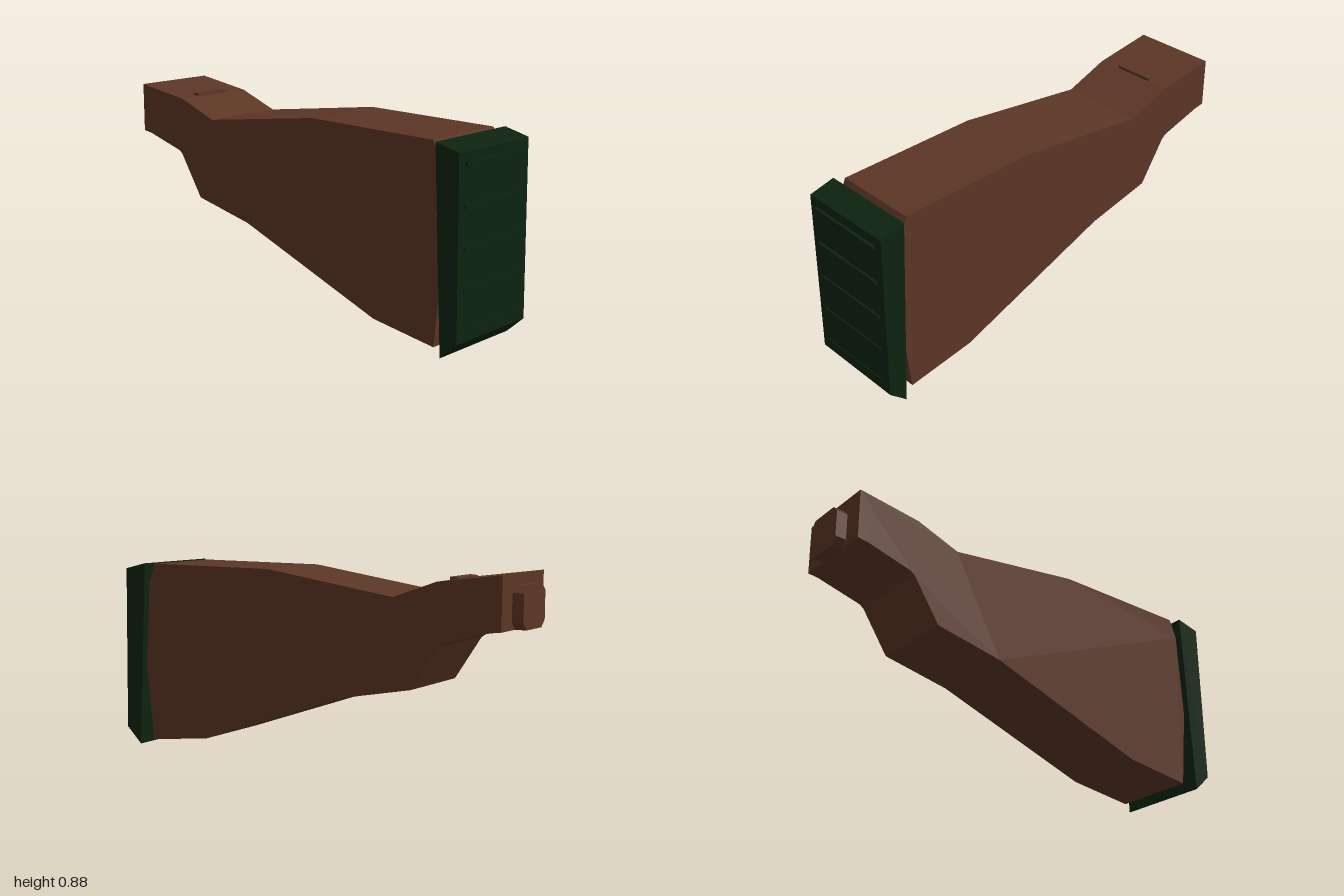
import * as THREE from 'three';

// Extrude a side profile of [z, y] points across x, centred on x = 0
function sideProfile(name, points, width, material) {
  const shape = new THREE.Shape(points.map(([z, y]) => new THREE.Vector2(-z, y)));
  const geometry = new THREE.ExtrudeGeometry(shape, { depth: width, bevelEnabled: false });
  geometry.translate(0, 0, -width / 2);
  geometry.rotateY(Math.PI / 2);
  const mesh = new THREE.Mesh(geometry, material);
  mesh.name = name;
  return mesh;
}

export function createModel() {
  const wood = new THREE.MeshStandardMaterial({ color: 0x5c3625 });
  wood.name = 'brown wood';
  const rubber = new THREE.MeshStandardMaterial({ color: 0x0d230f });
  rubber.name = 'dark green rubber';

  const model = new THREE.Group();
  model.name = 'shoulderStock';

  // Main stock with narrow wrist
  model.add(sideProfile('stockBody', [
    [0.835, 0.86], [0.18, 0.86], [-0.455, 0.77], [-0.66, 0.842], [-0.95, 0.88],
    [-0.95, 0.656], [-0.9, 0.65], [-0.69, 0.595], [-0.67, 0.58], [-0.545, 0.392],
    [-0.225, 0.33], [0.54, 0.065], [0.86, 0.025], [0.895, 0.38], [0.87, 0.775],
  ], 0.382, wood));

  // Small raised lip on top of the wrist
  model.add(sideProfile('topLip', [
    [-0.665, 0.856], [-0.70, 0.853], [-0.70, 0.83], [-0.665, 0.83],
  ], 0.18, wood));

  // Octagonal tenon at the back end
  const w = 0.1, low = 0.656, high = 0.835, c = 0.03;
  const outline = new THREE.Shape([
    [-w + c, low], [w - c, low], [w, low + c], [w, high - c],
    [w - c, high], [-w + c, high], [-w, high - c], [-w, low + c],
  ].map(([x, y]) => new THREE.Vector2(x, y)));
  const tenon = new THREE.Mesh(
    new THREE.ExtrudeGeometry(outline, { depth: 0.06, bevelEnabled: false }), wood);
  tenon.name = 'tenon';
  tenon.position.z = -1;
  model.add(tenon);

  // Recoil pad with sloped top and bottom
  model.add(sideProfile('recoilPad', [
    [0.87, 0.862], [0.985, 0.835], [0.998, 0.077], [0.917, 0.002],
  ], 0.442, rubber));

  // Thin grip ribs across the pad
  for (let i = 0; i < 5; i++) {
    const rib = new THREE.Mesh(new THREE.BoxGeometry(0.37, 0.016, 0.03), rubber);
    rib.name = 'gripRib';
    rib.position.set(0, 0.125 + i * 0.1655, 0.986 - i * 0.0005);
    model.add(rib);
  }
  return model;
}
